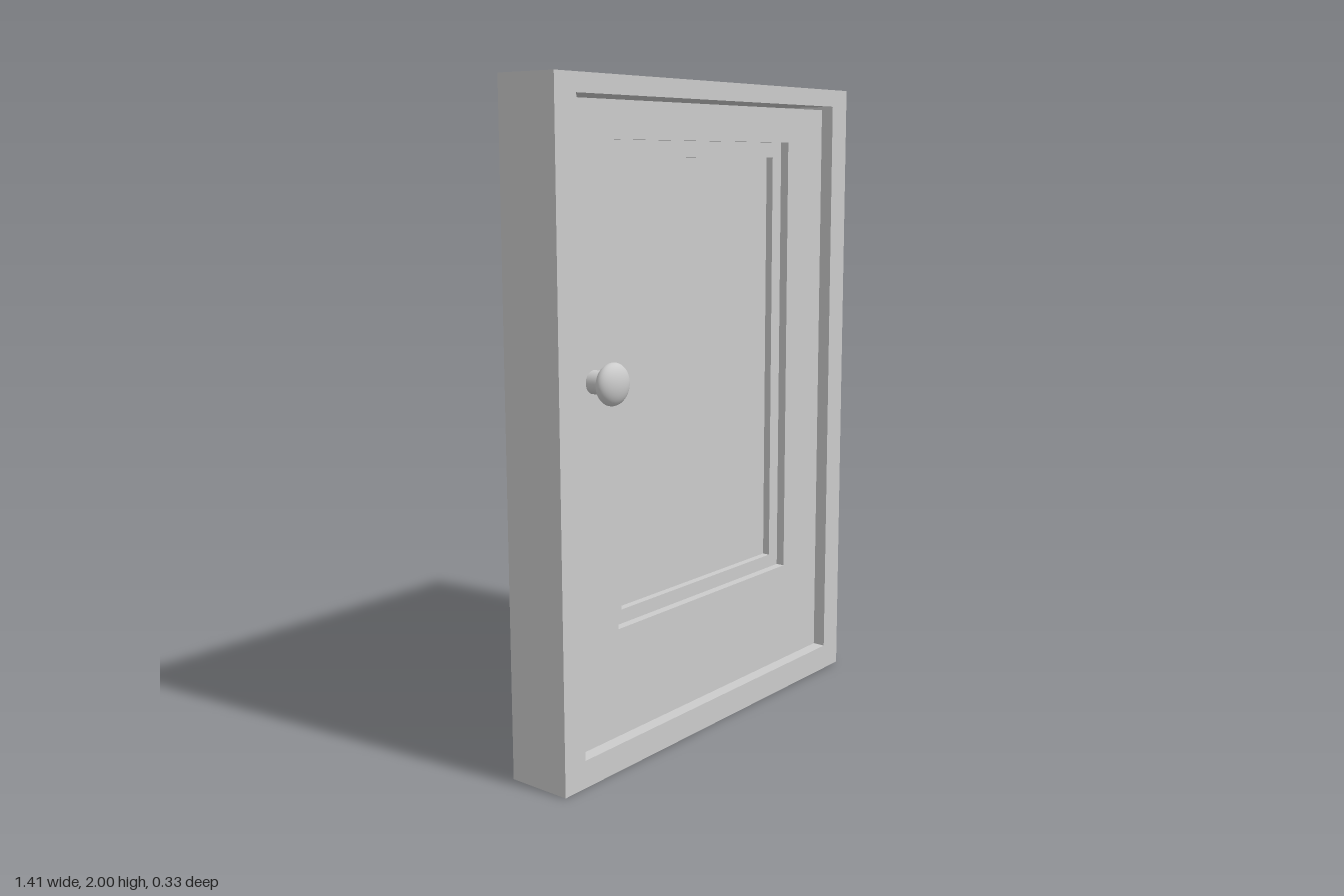
import * as THREE from 'three';

const material = new THREE.MeshStandardMaterial({ color: 0xcccccc });

// Rectangle given as [x0, y0, x1, y1]
function rect(Type, [x0, y0, x1, y1]) {
  return new Type()
    .moveTo(x0, y0).lineTo(x1, y0).lineTo(x1, y1).lineTo(x0, y1).closePath();
}

// Rectangular slab centred on z = 0, with an optional rectangular opening
function slab(name, outer, opening, depth) {
  const shape = rect(THREE.Shape, outer);
  if (opening) shape.holes.push(rect(THREE.Path, opening));
  const geometry = new THREE.ExtrudeGeometry(shape, { depth, bevelEnabled: false });
  geometry.translate(0, 0, -depth / 2);
  const mesh = new THREE.Mesh(geometry, material);
  mesh.name = name;
  return mesh;
}

// Flattened round knob on a short stem, pointing along +z from the leaf face
function knob(name, leafFace) {
  const group = new THREE.Group();
  group.name = name;

  const grip = new THREE.Mesh(new THREE.SphereGeometry(0.061, 40, 24), material);
  grip.name = 'knobGrip';
  grip.scale.z = 0.55;
  grip.position.z = 0.131;

  const stemLength = 0.131 - leafFace;
  const stem = new THREE.Mesh(
    new THREE.CylinderGeometry(0.032, 0.034, stemLength, 32), material);
  stem.name = 'knobStem';
  stem.rotation.x = Math.PI / 2;
  stem.position.z = leafFace + stemLength / 2;

  group.add(grip, stem);
  return group;
}

export function createModel() {
  const model = new THREE.Group();
  model.name = 'door';

  const frameOuter = [-0.707, 0, 0.707, 2];
  const frameOpening = [-0.623, 0.083, 0.623, 1.946];
  const leafOuter = [-0.623, 0.083, 0.623, 1.936]; // narrow gap above the leaf
  const leafOpening = [-0.427, 0.414, 0.427, 1.828];
  const panelOpening = [-0.38, 0.457, 0.38, 1.78];
  const leafDepth = 0.122;

  // Nested layers, each thinner than the one around it
  model.add(
    slab('frame', frameOuter, frameOpening, 0.206),
    slab('doorLeaf', leafOuter, leafOpening, leafDepth),
    slab('panelMoulding', leafOpening, panelOpening, 0.066),
    slab('centrePanel', panelOpening, null, 0.018),
  );

  // One knob on each face, on opposite sides
  const front = knob('frontKnob', leafDepth / 2);
  front.position.set(-0.521, 1.16, 0);
  const back = knob('backKnob', leafDepth / 2);
  back.position.set(0.524, 1.16, 0);
  back.rotation.y = Math.PI;
  model.add(front, back);

  return model;
}
